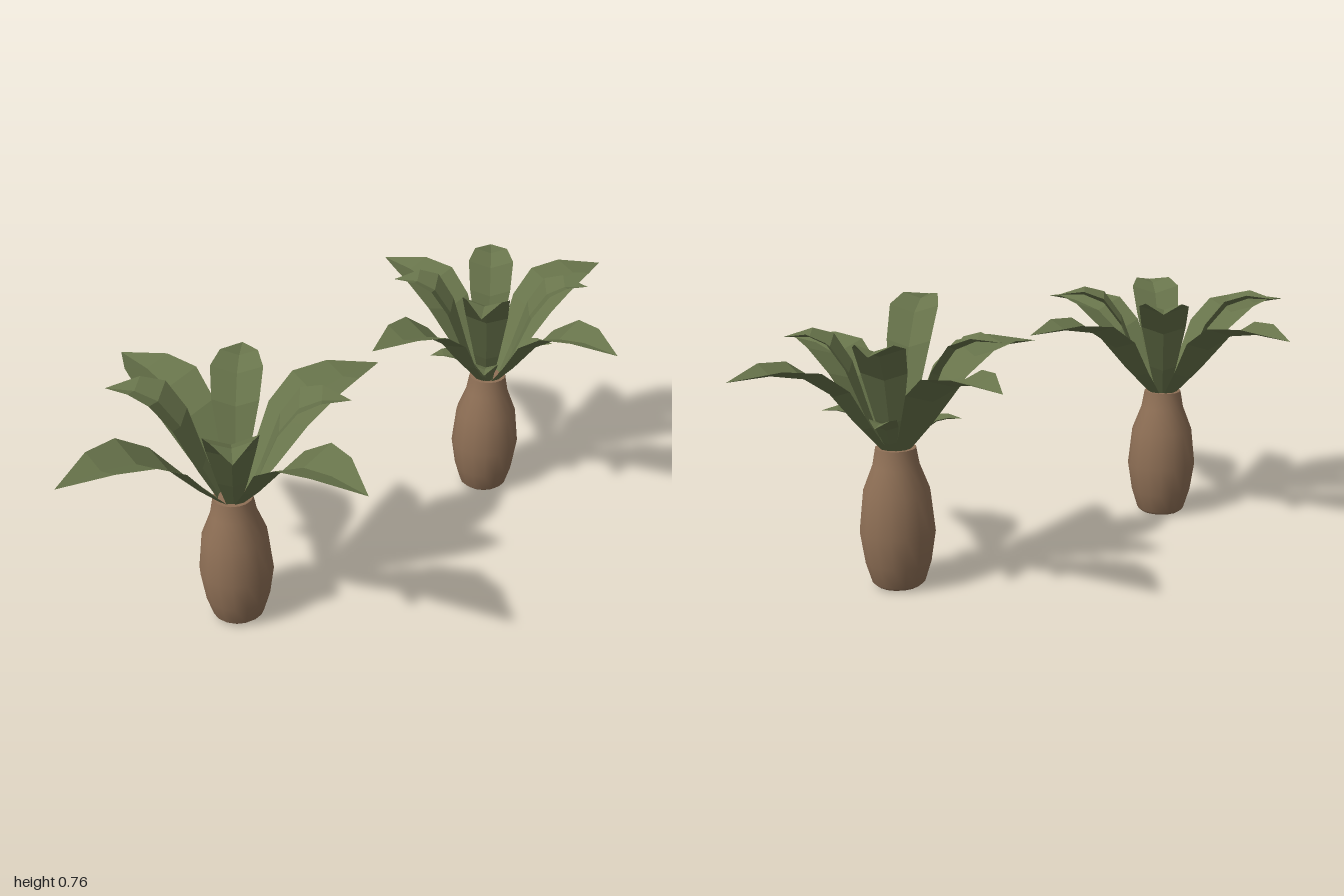
import * as THREE from 'three';

const trunkMaterial = new THREE.MeshStandardMaterial({ color: 0x8f7056 });
trunkMaterial.name = 'bark brown';
const leafMaterial = new THREE.MeshStandardMaterial({ color: 0x68744b, flatShading: true, side: THREE.DoubleSide });
leafMaterial.name = 'leaf green';

// Shared leaf rule: distance outward, arch height and half width, as fractions
const OUT = [0, 0.15, 0.33, 0.52, 0.73, 1];
const RISE = [0, 0.29, 0.69, 0.92, 1, 1];
const WIDTH = [0.26, 0.55, 0.9, 1, 0.72, 0];
const BASE_R = 0.035, BASE_Y = 0.375, FOLD = 0.33;

// Arched leaf folded into a shallow V, growing from the crown to its tip
function makeLeaf(name, [tipX, tipY, tipZ], halfWidth) {
  const length = Math.hypot(tipX, tipZ) - BASE_R;
  const positions = [], index = [];
  OUT.forEach((f, i) => {
    const r = BASE_R + f * length;
    const y = BASE_Y + RISE[i] * (tipY - BASE_Y);
    const w = WIDTH[i] * halfWidth;
    positions.push(r, y + w * FOLD, -w, r, y, 0, r, y + w * FOLD, w);
  });
  for (let i = 0; i < OUT.length - 1; i++) {
    for (let s = 0; s < 2; s++) {
      const a = i * 3 + s, b = a + 1, c = a + 3, d = a + 4;
      // the last section narrows to a point
      if (i === OUT.length - 2) index.push(a, b, c);
      else index.push(a, b, d, a, d, c);
    }
  }
  const geometry = new THREE.BufferGeometry();
  geometry.setAttribute('position', new THREE.Float32BufferAttribute(positions, 3));
  geometry.setIndex(index);
  geometry.computeVertexNormals();
  const leaf = new THREE.Mesh(geometry, leafMaterial);
  leaf.name = name;
  leaf.rotation.y = -Math.atan2(tipZ, tipX);
  return leaf;
}

// Bottle-shaped trunk, closed at both ends
function makeTrunk() {
  const profile = [
    [0, 0], [0.06, 0.002], [0.072, 0.012], [0.09, 0.07], [0.103, 0.155],
    [0.091, 0.265], [0.064, 0.335], [0.055, 0.385],
  ].map(([r, y]) => new THREE.Vector2(r, y));
  const trunk = new THREE.Group();
  trunk.name = 'trunk';
  const body = new THREE.Mesh(new THREE.LatheGeometry(profile, 16), trunkMaterial);
  body.name = 'trunkBody';
  const top = new THREE.Mesh(new THREE.CircleGeometry(0.055, 16), trunkMaterial);
  top.name = 'trunkTop';
  top.rotation.x = -Math.PI / 2;
  top.position.y = 0.385;
  trunk.add(body, top);
  return trunk;
}

function makePalm(name, x, leafSets) {
  const palm = new THREE.Group();
  palm.name = name;
  palm.position.x = x;
  palm.add(makeTrunk());
  for (const { label, halfWidth, tips } of leafSets) {
    tips.forEach((tip, i) => palm.add(makeLeaf(label + (i + 1), tip, halfWidth)));
  }
  return palm;
}

export function createModel() {
  const group = new THREE.Group();
  group.name = 'twoPalms';

  // Leaf tips are given relative to each trunk's foot
  group.add(makePalm('rightPalm', -0.485, [
    { label: 'longLeaf', halfWidth: 0.097, tips: [
      [-0.515, 0.617, 0.03 * -1], [0.51, 0.617, 0.03], [0.025, 0.617, -0.515], [0.015, 0.617, 0.512]] },
    { label: 'upperLeaf', halfWidth: 0.072, tips: [
      [-0.195, 0.68, -0.27], [0.237, 0.68, -0.23], [-0.195, 0.68, 0.26], [0.23, 0.68, 0.222]] },
  ]));

  group.add(makePalm('leftPalm', 0.52, [
    { label: 'longLeaf', halfWidth: 0.092, tips: [
      [-0.462, 0.617, -0.03], [0.475, 0.625, 0.03], [0.025, 0.617, -0.48], [0.02, 0.617, 0.465]] },
    { label: 'upperLeaf', halfWidth: 0.068, tips: [
      [-0.17, 0.68, -0.24], [0.22, 0.69, -0.205], [-0.275, 0.74, 0.21], [0.21, 0.68, 0.195]] },
    // short leaves tucked under the crown
    { label: 'smallLeaf', halfWidth: 0.036, tips: [
      [-0.14, 0.46, -0.11], [0.165, 0.49, -0.145], [-0.14, 0.475, 0.11], [0.15, 0.485, 0.125]] },
  ]));
  return group;
}
